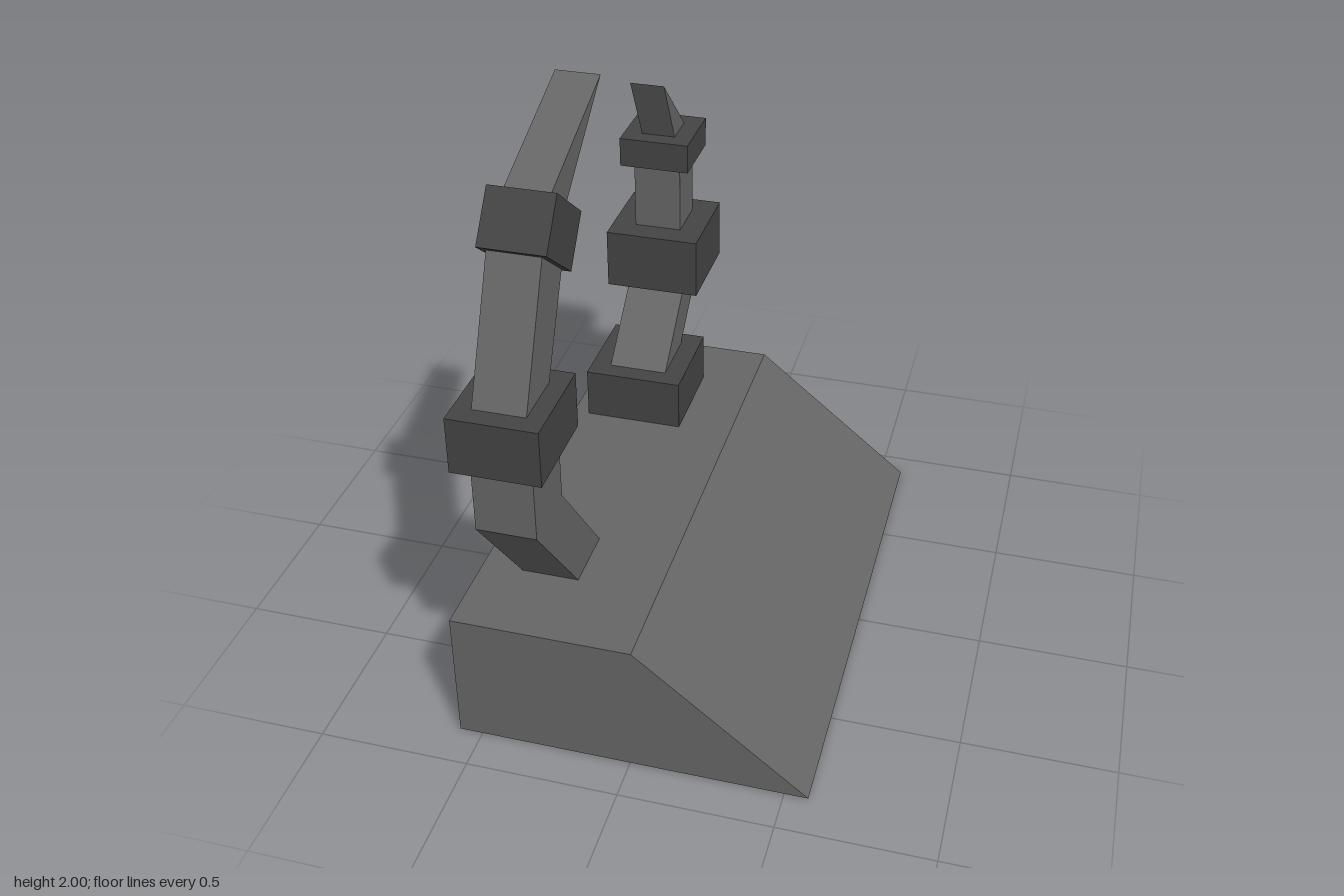
import * as THREE from 'three';

const plain = new THREE.MeshStandardMaterial({ color: 0x666666 });
const dark = new THREE.MeshStandardMaterial({ color: 0x444444 });
const ARM_X = -0.348;

function extrude(points, depth) {
  const shape = new THREE.Shape(points.map(([a, b]) => new THREE.Vector2(a, b)));
  return new THREE.ExtrudeGeometry(shape, { depth, bevelEnabled: false });
}

// Side outline of [z, y] points, given a width across x and centred on the arm line
function sidePrism(parent, name, points, width, material = plain) {
  const geometry = extrude(points, width);
  geometry.rotateY(-Math.PI / 2);
  geometry.translate(ARM_X + width / 2, 0, 0);
  const mesh = new THREE.Mesh(geometry, material);
  mesh.name = name;
  parent.add(mesh);
}

// Upright square collar between two z and two y values
function collar(parent, name, z0, z1, y0, y1, width) {
  sidePrism(parent, name, [[z0, y0], [z1, y0], [z1, y1], [z0, y1]], width, dark);
}

export function createModel() {
  const model = new THREE.Group();
  model.name = 'clawArms';

  // Wedge base with one sloping side
  const base = new THREE.Mesh(
    extrude([[-0.577, 0], [0.577, 0], [0.012, 0.46], [-0.577, 0.46]], 1.767), plain);
  base.position.z = -0.907;
  base.name = 'base';
  model.add(base);

  // Tall front arm, bending out and then curling back
  const front = new THREE.Group();
  front.name = 'frontArm';
  sidePrism(front, 'frontLowerArm',
    [[0.57, 0.46], [0.35, 0.46], [0.672, 0.873], [0.672, 1.105], [0.895, 1.105], [0.895, 0.873]], 0.19);
  collar(front, 'frontElbowCollar', 0.625, 0.943, 1.105, 1.29, 0.28);
  sidePrism(front, 'frontUpperArm', [[0.88, 1.29], [0.69, 1.29], [0.53, 1.61], [0.69, 1.70]], 0.165);
  sidePrism(front, 'frontWristCollar',
    [[0.604, 1.857], [0.712, 1.716], [0.523, 1.567], [0.415, 1.708]], 0.208, dark);
  sidePrism(front, 'frontClaw', [[0.57, 1.828], [0.455, 1.738], [0.105, 2.0]], 0.142);
  model.add(front);

  // Shorter back arm standing on a square foot
  const back = new THREE.Group();
  back.name = 'backArm';
  collar(back, 'backFoot', -0.69, -0.343, 0.46, 0.64, 0.345);
  sidePrism(back, 'backLowerArm', [[-0.41, 0.64], [-0.62, 0.64], [-0.88, 0.865], [-0.667, 0.865]], 0.207);
  collar(back, 'backElbowCollar', -0.94, -0.603, 0.865, 1.08, 0.335);
  collar(back, 'backUpperArm', -0.86, -0.69, 1.08, 1.33, 0.168);
  back.getObjectByName('backUpperArm').material = plain;
  collar(back, 'backWristCollar', -0.898, -0.65, 1.33, 1.435, 0.248);
  sidePrism(back, 'backClaw', [[-0.712, 1.435], [-0.838, 1.435], [-0.588, 1.677]], 0.12);
  model.add(back);

  return model;
}
